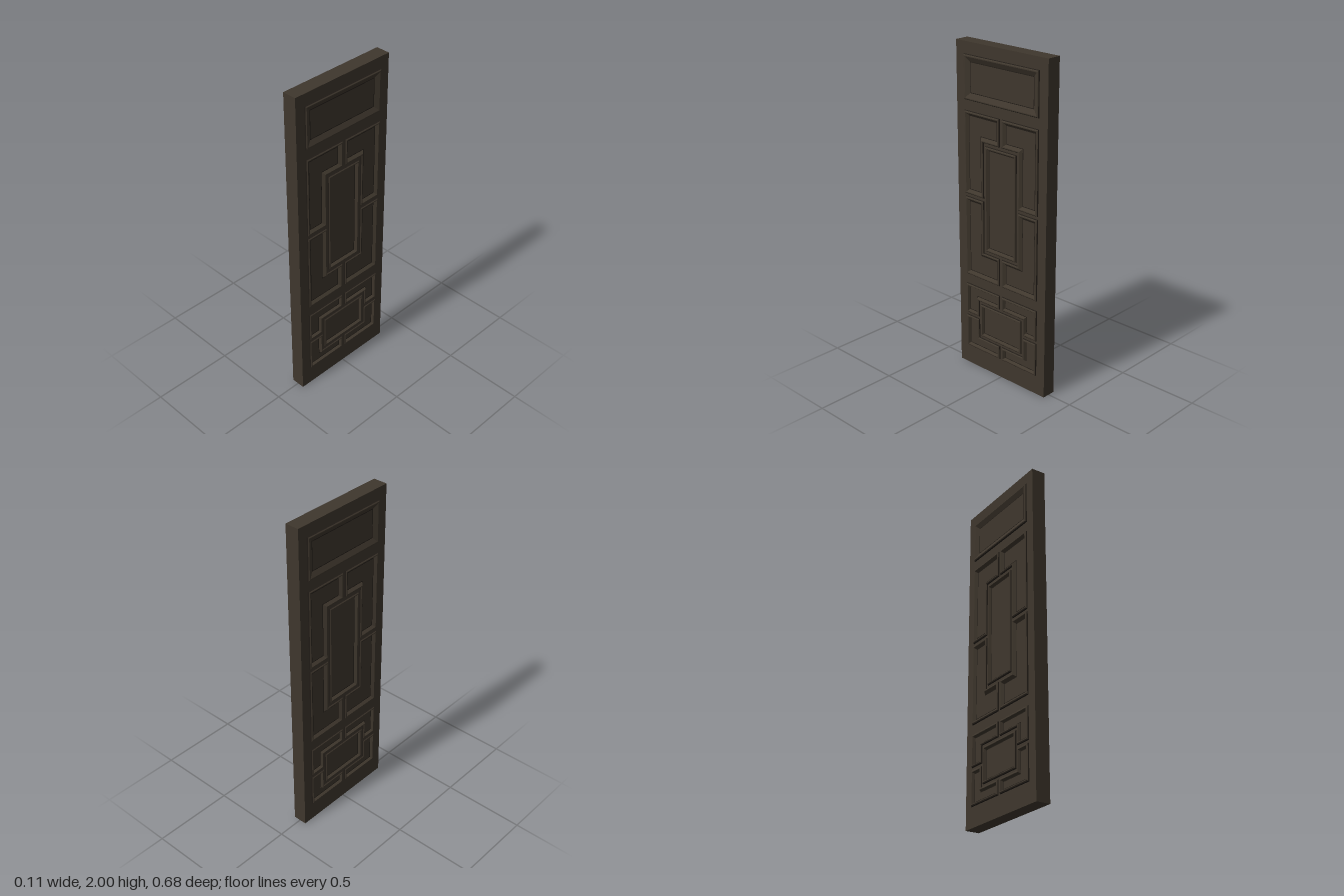
import * as THREE from 'three';

const HALF = 0.043;  // half thickness of the door leaf
const PEAK = 0.053;  // height of the moulding crest
const FIELD = 0.038; // height of the sunken panel field

const wood = new THREE.MeshStandardMaterial({ color: 0x3f372d });
wood.name = 'dark wood';
const groove = new THREE.MeshStandardMaterial({ color: 0x211c17 });
groove.name = 'groove shadow stain';

// Counter-clockwise rectangle
const rect = (u, y0, y1) => [[-u, y0], [u, y0], [u, y1], [-u, y1]];

// L-shaped panel in the corner chosen by su, mirrored vertically by swapping the heights
function elbow(su, gap, arm, outer, inner, split, edge) {
  const pts = [[gap, inner], [arm, inner], [arm, split], [outer, split], [outer, edge], [gap, edge]]
    .map(([u, y]) => [u * su, y]);
  return su * Math.sign(edge - split) < 0 ? pts.reverse() : pts;
}

// Inset a right-angled counter-clockwise outline
function inset(pts, d) {
  const n = pts.length;
  const normal = (a, b) => [-Math.sign(b[1] - a[1]), Math.sign(b[0] - a[0])];
  return pts.map((p, i) => {
    const n1 = normal(pts[(i + n - 1) % n], p);
    const n2 = normal(p, pts[(i + 1) % n]);
    return [p[0] + d * (n1[0] + n2[0]), p[1] + d * (n1[1] + n2[1])];
  });
}

const toShape = (pts) => new THREE.Shape(pts.map(([x, y]) => new THREE.Vector2(x, y)));

// Sloping band between two insets of an outline
function band(pts, [d0, z0], [d1, z1]) {
  const a = inset(pts, d0), b = inset(pts, d1), pos = [];
  for (let i = 0; i < a.length; i++) {
    const j = (i + 1) % a.length;
    pos.push(...a[i], z0, ...a[j], z0, ...b[j], z1, ...a[i], z0, ...b[j], z1, ...b[i], z1);
  }
  const geo = new THREE.BufferGeometry();
  geo.setAttribute('position', new THREE.Float32BufferAttribute(pos, 3));
  geo.computeVertexNormals();
  return geo;
}

// One framed panel: rounded outer edge, crest, bevel, thin groove and field
function makePanel(pts, width, name) {
  const g = new THREE.Group();
  g.name = name;
  const add = (geo, mat, part) => {
    const m = new THREE.Mesh(geo, mat);
    m.name = part;
    g.add(m);
    return m;
  };
  const line = 0.004;
  const profile = [
    [0, HALF, groove], [0.003, 0.049, wood], [0.008, PEAK, wood],
    [0.013, PEAK, wood], [width - line, FIELD, groove], [width, FIELD, null],
  ];
  for (let i = 0; i < profile.length - 1; i++) {
    add(band(pts, profile[i], profile[i + 1]), profile[i][2], 'moulding');
  }
  add(new THREE.ShapeGeometry(toShape(inset(pts, width))), wood, 'field').position.z = FIELD;
  return g;
}

// Outlines of all panels on one face: [outline, moulding width, name]
const panels = [
  [rect(0.28, 1.67, 1.93), 0.045, 'topPanel'],
  [rect(0.12, 0.79, 1.43), 0.026, 'tallCentrePanel'],
  [rect(0.163, 0.22, 0.435), 0.024, 'lowCentrePanel'],
];
for (const s of [1, -1]) {
  panels.push(
    [elbow(s, 0.008, 0.132, 0.28, 1.445, 1.112, 1.61), 0.031, 'upperElbowPanel'],
    [elbow(s, 0.008, 0.132, 0.28, 0.775, 1.096, 0.6), 0.031, 'middleElbowPanel'],
    [elbow(s, 0.008, 0.175, 0.28, 0.448, 0.345, 0.54), 0.024, 'lowElbowPanel'],
    [elbow(s, 0.008, 0.175, 0.28, 0.207, 0.33, 0.12), 0.024, 'bottomElbowPanel'],
  );
}

export function createModel() {
  const door = new THREE.Group();
  door.name = 'door';

  // Leaf with an opening for every panel
  const outline = toShape(rect(0.34, 0, 2));
  for (const [pts] of panels) outline.holes.push(toShape(pts));
  const leafGeo = new THREE.ExtrudeGeometry(outline, { depth: HALF * 2, bevelEnabled: false });
  leafGeo.translate(0, 0, -HALF).rotateY(Math.PI / 2);
  const leaf = new THREE.Mesh(leafGeo, wood);
  leaf.name = 'leaf';
  door.add(leaf);

  // The same panelling on both broad faces
  for (const side of [1, -1]) {
    const face = new THREE.Group();
    face.name = side > 0 ? 'leftFacePanelling' : 'rightFacePanelling';
    for (const [pts, width, name] of panels) face.add(makePanel(pts, width, name));
    face.rotation.y = side * Math.PI / 2;
    door.add(face);
  }
  return door;
}
